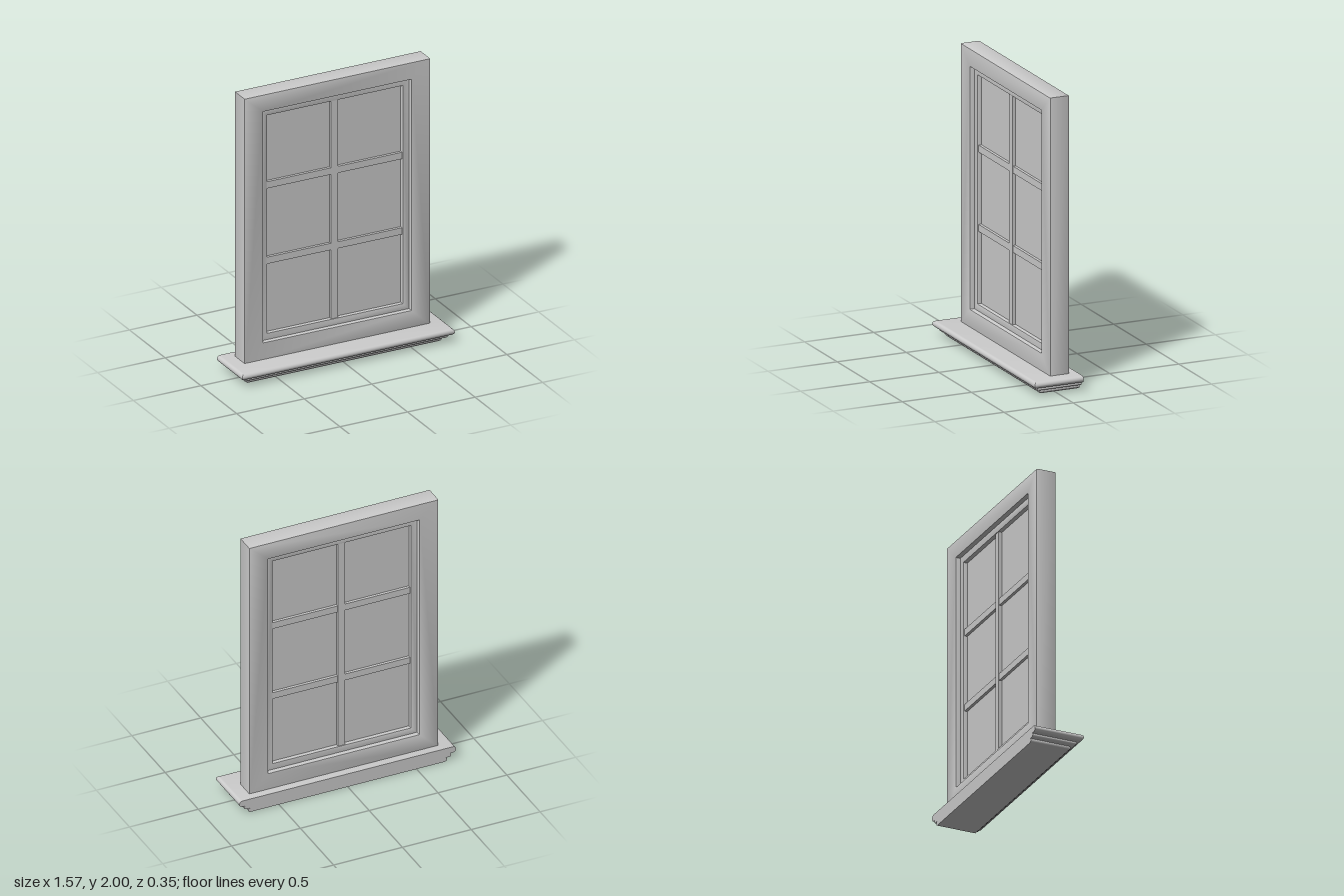
import * as THREE from 'three';
import { toCreasedNormals } from 'three/addons/utils/BufferGeometryUtils.js';

const material = new THREE.MeshStandardMaterial({ color: 0xcccccc });
const MID_Z = -0.05; // middle plane of the window

function addMesh(parent, name, geometry) {
  const mesh = new THREE.Mesh(geometry, material);
  mesh.name = name;
  parent.add(mesh);
  return mesh;
}

function rectangle(path, halfWidth, y0, y1) {
  path.moveTo(-halfWidth, y0);
  path.lineTo(halfWidth, y0);
  path.lineTo(halfWidth, y1);
  path.lineTo(-halfWidth, y1);
  path.closePath();
  return path;
}

// Rectangular ring with slightly eased edges, centred on the window plane.
// outer and inner are [halfWidth, bottom, top].
function ringGeometry(outer, inner, depth, ease) {
  const shape = rectangle(new THREE.Shape(), ...outer);
  shape.holes.push(rectangle(new THREE.Path(), ...inner));
  const geometry = new THREE.ExtrudeGeometry(shape, {
    depth: depth - 2 * ease, bevelEnabled: true, bevelThickness: ease,
    bevelSize: ease, bevelOffset: -ease, bevelSegments: 2,
  });
  geometry.translate(0, 0, MID_Z - depth / 2 + ease);
  return toCreasedNormals(geometry, 0.6);
}

// Half-round nosings stacked on one another: [inset, y] from bottom to top
function sillProfile() {
  const tiers = [[0.065, 0.002, 0.03], [0.035, 0.03, 0.055], [0, 0.055, 0.1]];
  const points = [[0.076, 0]];
  for (const [inset, y0, y1] of tiers) {
    const r = (y1 - y0) / 2;
    for (let i = 0; i <= 8; i++) {
      const a = -Math.PI / 2 + (Math.PI * i) / 8;
      points.push([inset + r * (1 - Math.cos(a)), (y0 + y1) / 2 + r * Math.sin(a)]);
    }
  }
  return points;
}

// Moulding mitred round the front and both ends, flat at the back
function sillGeometry() {
  const back = -0.177;
  const loops = sillProfile().map(([d, y]) => [
    [-0.787 + d, y, back], [-0.787 + d, y, 0.177 - d],
    [0.787 - d, y, 0.177 - d], [0.787 - d, y, back],
  ]);
  const positions = [];
  const quad = (a, b, c, d) => positions.push(...a, ...b, ...c, ...a, ...c, ...d);
  for (let i = 0; i < loops.length - 1; i++) {
    for (let k = 0; k < 4; k++) {
      const n = (k + 1) % 4;
      quad(loops[i][k], loops[i][n], loops[i + 1][n], loops[i + 1][k]);
    }
  }
  const top = loops[loops.length - 1];
  const bottom = loops[0];
  quad(top[0], top[1], top[2], top[3]);
  quad(bottom[3], bottom[2], bottom[1], bottom[0]);
  const geometry = new THREE.BufferGeometry();
  geometry.setAttribute('position', new THREE.Float32BufferAttribute(positions, 3));
  return toCreasedNormals(geometry, 0.6);
}

export function createModel() {
  const model = new THREE.Group();
  model.name = 'window';

  addMesh(model, 'sill', sillGeometry());

  // Outer frame and the recessed sash inside it
  addMesh(model, 'frame', ringGeometry([0.687, 0.09, 2], [0.548, 0.22, 1.878], 0.138, 0.006));
  addMesh(model, 'sash', ringGeometry([0.552, 0.216, 1.882], [0.502, 0.265, 1.83], 0.07, 0.003));

  // Glass sheet
  addMesh(model, 'glass', new THREE.BoxGeometry(1.01, 1.57, 0.012))
    .position.set(0, 1.0475, MID_Z);

  // Glazing bars, the upright one standing slightly proud
  const bars = new THREE.Group();
  bars.name = 'glazingBars';
  model.add(bars);
  addMesh(bars, 'verticalBar', new THREE.BoxGeometry(0.05, 1.57, 0.06))
    .position.set(0, 1.0475, MID_Z);
  for (const y of [0.783, 1.325]) {
    addMesh(bars, 'horizontalBar', new THREE.BoxGeometry(1.01, 0.048, 0.052))
      .position.set(0, y, MID_Z);
  }

  return model;
}
